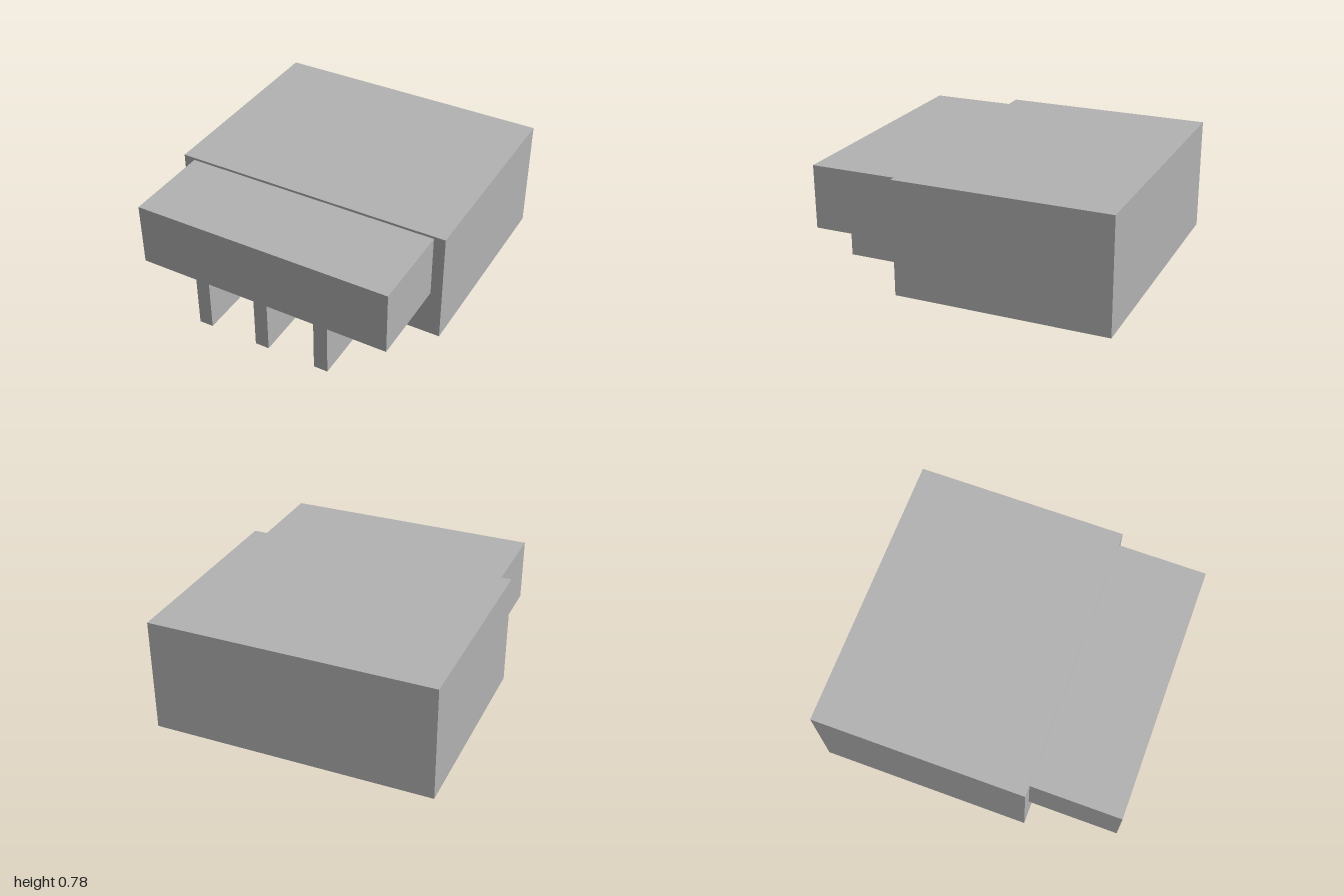
import * as THREE from 'three';

export function createModel() {
  const model = new THREE.Group();
  const grey = new THREE.MeshStandardMaterial({ color: 0xb2b2b2 });
  grey.name = 'grey';

  // Axis-aligned block given by its lower and upper limits
  function block(name, [x0, x1], [y0, y1], [z0, z1]) {
    const mesh = new THREE.Mesh(new THREE.BoxGeometry(x1 - x0, y1 - y0, z1 - z0), grey);
    mesh.position.set((x0 + x1) / 2, (y0 + y1) / 2, (z0 + z1) / 2);
    mesh.name = name;
    model.add(mesh);
  }

  // Large rear housing
  block('mainBody', [-0.933, 0.933], [0.02, 0.78], [-1, 0.408]);

  // Narrower raised block in front
  block('frontBlock', [-0.857, 0.857], [0.345, 0.764], [0.408, 1]);

  // Three upright fins under the front block, running back beneath the body
  ['rightFin', 'middleFin', 'leftFin'].forEach((name, i) => {
    const x = (i - 1) * 0.419;
    block(name, [x - 0.047, x + 0.047], [0, 0.345], [0.24, 1]);
  });

  return model;
}
